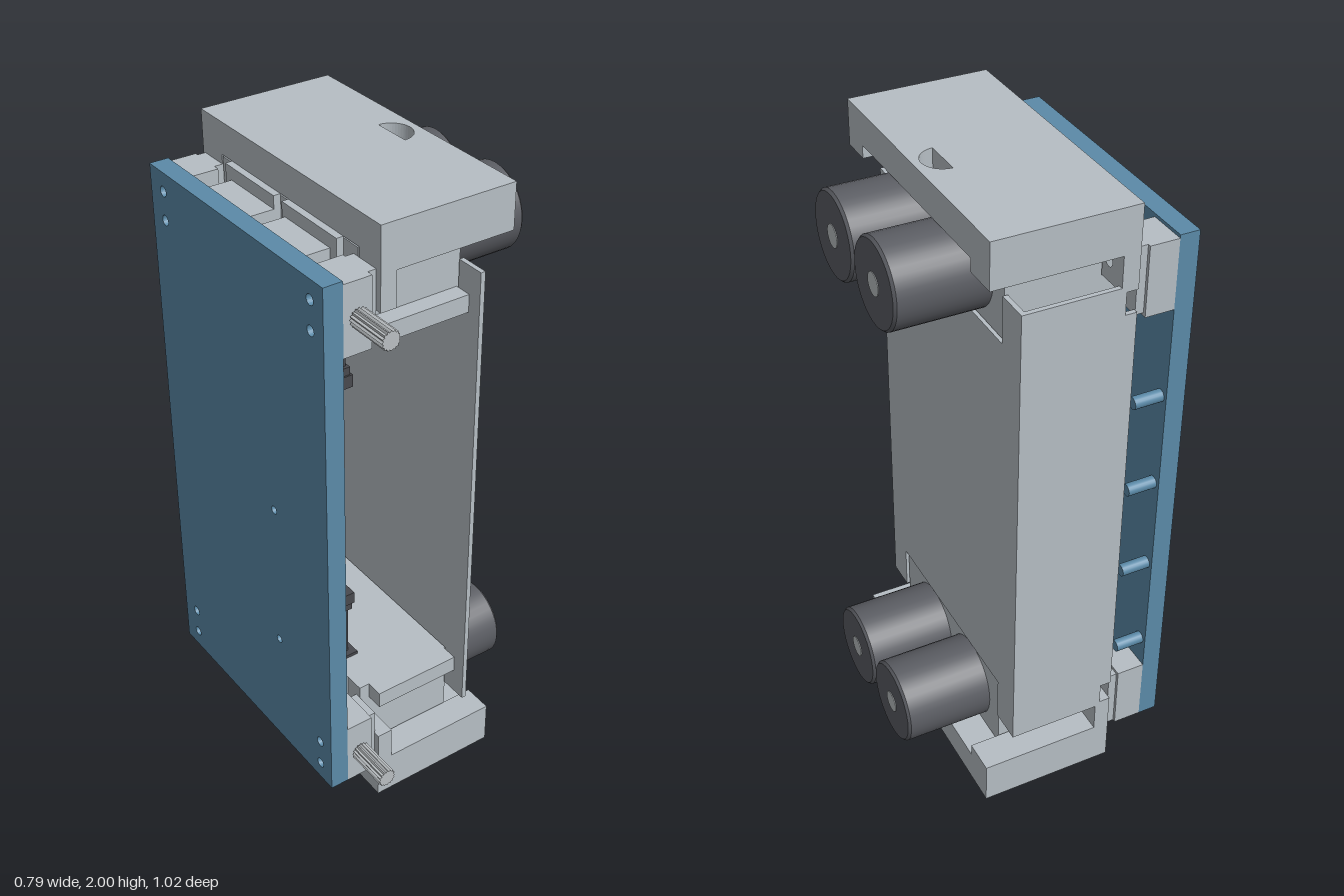
import * as THREE from 'three';

const material = (name, color, side = THREE.FrontSide) => {
  const m = new THREE.MeshStandardMaterial({ color, side });
  m.name = name;
  return m;
};

export function createModel() {
  const grey = material('light grey', 0xb6bec4);
  const steel = material('pale steel', 0xbabfc2);
  const dark = material('motor grey', 0x5b5d63);
  const black = material('cable dark grey', 0x48494e);
  const blue = material('board blue', 0x5b8aa8);
  const model = new THREE.Group();

  const add = (name, geo, mat) => {
    const mesh = new THREE.Mesh(geo, mat);
    mesh.name = name;
    model.add(mesh);
    return mesh;
  };
  // Box given by its limits on each axis
  const box = (name, mat, x0, x1, y0, y1, z0, z1) => {
    const g = new THREE.BoxGeometry(x1 - x0, Math.abs(y1 - y0), z1 - z0);
    g.translate((x0 + x1) / 2, (y0 + y1) / 2, (z0 + z1) / 2);
    return add(name, g, mat);
  };
  const rodX = (name, mat, r, x0, x1, y, z, sides = 20) => {
    const g = new THREE.CylinderGeometry(r, r, x1 - x0, sides);
    g.rotateZ(-Math.PI / 2).translate((x0 + x1) / 2, y, z);
    return add(name, g, mat);
  };
  const rodZ = (name, mat, r, z0, z1, x, y) => {
    const g = new THREE.CylinderGeometry(r, r, z1 - z0, 24);
    g.rotateX(Math.PI / 2).translate(x, y, (z0 + z1) / 2);
    return add(name, g, mat);
  };
  const shapeOf = (pts) => new THREE.Shape(pts.map(([a, b]) => new THREE.Vector2(a, b)));
  const drill = (shape, a, b, r) => shape.holes.push(new THREE.Path().absarc(a, b, r, 0, Math.PI * 2, true));
  const extrude = (shape, depth) =>
    new THREE.ExtrudeGeometry(shape, { depth, bevelEnabled: false, curveSegments: 12 });
  // Profile in (z, y), extruded between two x positions
  const extrudeX = (name, mat, shape, x0, x1) => {
    const g = extrude(shape, x1 - x0);
    g.rotateY(-Math.PI / 2).translate(x1, 0, 0);
    return add(name, g, mat);
  };

  const Z0 = -0.51, Z1 = 0.365;   // back and front of the housing
  const G0 = -0.4, G1 = 0.265;    // gearbox opening
  const holeZ = [-0.44, 0.305];

  // Drilled mounting board
  const board = shapeOf([[Z0, 0.13], [Z1, 0.13], [Z1, 1.88], [Z0, 1.88]]);
  for (const z of holeZ) for (const y of [0.19, 0.28, 1.73, 1.82]) drill(board, z, y, 0.016);
  for (const y of [0.54, 1.03]) drill(board, 0.09, y, 0.013);
  extrudeX('mountingBoard', blue, board, -0.395, -0.335);

  // Standoff pins and small pegs
  for (const y of [0.44, 0.75, 1.055, 1.36]) rodX('standoffPin', blue, 0.019, -0.335, -0.245, y, -0.48);
  for (const y of [0.645, 0.95, 1.26, 1.565]) rodX('standoffPin', blue, 0.019, -0.335, -0.245, y, -0.26);
  for (const [y, z] of [[1.445, 0.29], [1.31, 0.29], [1.445, -0.03]]) {
    rodX('peg', blue, 0.016, -0.335, -0.315, y, z);
    rodX('pegTip', blue, 0.007, -0.315, -0.3, y, z, 12);
  }

  // Side panel, notched around both gearboxes
  extrudeX('sidePanel', grey, shapeOf([
    [Z0, 0.235], [G0 - 0.006, 0.235], [G0 - 0.006, 0.38], [G1 + 0.006, 0.38], [G1 + 0.006, 0.235], [Z1, 0.235],
    [Z1, 1.765], [G1 + 0.006, 1.765], [G1 + 0.006, 1.62], [G0 - 0.006, 1.62], [G0 - 0.006, 1.765], [Z0, 1.765],
  ]), 0.105, 0.12);

  // Back wall with two slots on its inner edge
  const wall = extrude(shapeOf([
    [-0.22, 0.235], [0.106, 0.235], [0.106, 1.765], [-0.22, 1.765], [-0.22, 1.75], [-0.185, 1.75],
    [-0.185, 1.68], [-0.22, 1.68], [-0.22, 0.32], [-0.185, 0.32], [-0.185, 0.25], [-0.22, 0.25],
  ]), 0.015);
  wall.translate(0, 0, Z0);
  add('backWall', wall, grey);

  // Fluted shaft outline
  const flutes = [];
  for (let i = 0; i < 32; i++) {
    const r = i % 2 ? 0.025 : 0.03, a = (i / 32) * Math.PI * 2;
    flutes.push([Math.min(r * Math.cos(a), 0.026), r * Math.sin(a)]);
  }

  // Both ends, the upper one mirrored about mid height
  for (const top of [false, true]) {
    const Y = (y) => (top ? 2 - y : y);
    const ybox = (name, mat, x0, x1, y0, y1, z0, z1) => box(name, mat, x0, x1, Y(y0), Y(y1), z0, z1);

    // End slab with a half-round port
    const slab = shapeOf([[-0.22, -Z1], [0.21, -Z1], [0.21, -Z0], [-0.22, -Z0]]);
    const port = new THREE.Path();
    port.absarc(0.125, 0.07, 0.062, -Math.PI / 2, Math.PI / 2, false);
    port.closePath();
    slab.holes.push(port);
    const slabGeo = extrude(slab, 0.1);
    slabGeo.rotateX(-Math.PI / 2).translate(0, top ? 1.9 : 0, 0);
    add('endSlab', slabGeo, grey);

    // Raised ears and drilled arms either side of the gearbox
    for (const [z0, z1, hz] of [[Z0, G0 - 0.005, holeZ[0]], [G1 + 0.005, Z1, holeZ[1]]]) {
      ybox('endEar', grey, -0.22, 0.21, 0.1, 0.14, z0, z1);
      const arm = shapeOf([[z0, Y(0.14)], [z1, Y(0.14)], [z1, Y(0.25)], [z0, Y(0.25)]]);
      drill(arm, hz, Y(0.19), 0.016);
      extrudeX('endArm', grey, arm, -0.22, -0.17);
    }

    // Gearbox with its cross rail and backing plates
    ybox('gearbox', grey, -0.22, 0.112, 0.104, 0.375, G0, G1);
    ybox('gearboxRail', grey, -0.185, 0.104, 0.32, 0.375, -0.46, 0.32);
    ybox('backingPlate', grey, -0.242, -0.22, 0.1, 0.375, -0.35, -0.1);
    ybox('backingPlate', grey, -0.242, -0.22, 0.1, 0.375, -0.06, 0.2);

    // Motors with pale shaft ends
    for (const z of [0.066, -0.207]) {
      const profile = [[0, 0.11], [0.13, 0.11], [0.131, 0.112], [0.131, 0.382], [0.124, 0.39], [0, 0.39]];
      const pts = [];
      profile.forEach(([r, h], i) => {
        pts.push(new THREE.Vector2(r, h));
        // doubled points keep the rim crisp
        if (i > 0 && i < 5) pts.push(new THREE.Vector2(r, h));
      });
      const g = new THREE.LatheGeometry(pts, 40);
      g.rotateZ(-Math.PI / 2).translate(0, Y(0.235), z);
      add('motor', g, dark);
      rodX('motorShaftEnd', steel, 0.034, 0.384, 0.392, Y(0.235), z, 28);
    }

    // Shaft clamps, carriers and the shaft
    const sy = Y(0.235), sx = -0.29;
    for (const [z0, z1] of [[Z0, -0.385], [0.235, Z1]]) {
      ybox('shaftClamp', grey, -0.335, -0.246, 0.13, 0.345, z0, z1);
      ybox('clampFoot', grey, -0.246, -0.22, 0.13, 0.335, z0 + 0.01, z1 - 0.02);
    }
    for (const [z0, z1] of [[-0.32, -0.1], [-0.045, 0.17]])
      ybox('shaftCarrier', grey, -0.326, -0.242, 0.14, 0.33, z0, z1);
    rodZ('shaft', steel, 0.02, -0.5, 0.372, sx, sy);
    const flutedGeo = extrude(shapeOf(flutes), 0.14);
    flutedGeo.translate(sx, sy, 0.37);
    add('flutedShaftEnd', flutedGeo, steel);
    rodX('shaftPinHole', black, 0.01, -0.27, -0.263, sy, 0.4, 16);

    // Cable and connector
    ybox('cableSocket', black, -0.185, -0.135, 0.375, 0.385, 0.0, 0.13);
    for (let i = 0; i < 4; i++) {
      const z = 0.035 + i * 0.023;
      ybox('cableWire', black, -0.164, -0.156, 0.38, 0.57, z - 0.005, z + 0.005);
    }
    ybox('connector', black, -0.172, -0.148, 0.56, 0.59, 0.02, 0.12);
    ybox('connectorHead', black, -0.178, -0.142, 0.585, 0.625, 0.015, 0.125);
  }
  return model;
}
